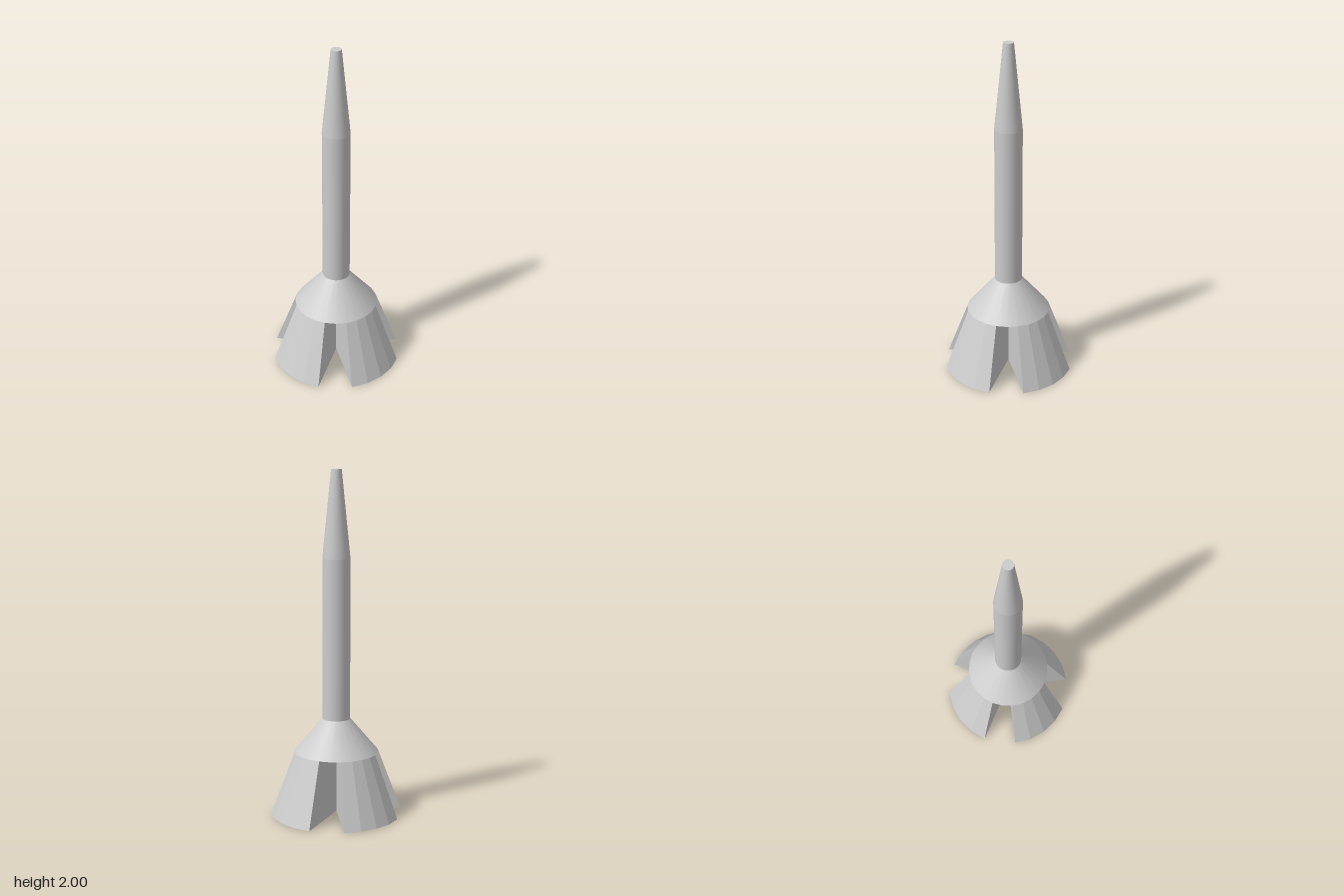
import * as THREE from 'three';

export function createModel() {
  const group = new THREE.Group();
  const smooth = new THREE.MeshStandardMaterial({ color: 0xcccccc });
  const flat = new THREE.MeshStandardMaterial({ color: 0xcccccc, flatShading: true, side: THREE.DoubleSide });

  const add = (parent, name, geometry, material, y = 0) => {
    const mesh = new THREE.Mesh(geometry, material);
    mesh.name = name;
    mesh.position.y = y;
    parent.add(mesh);
    return mesh;
  };

  // Stacked round sections: name, bottom radius, top radius, bottom y, top y, sides
  const sections = [
    ['collar', 0.245, 0.08, 0.37, 0.565, 24],
    ['shaft', 0.08, 0.08, 0.565, 1.5, 32],
    ['taperedNose', 0.08, 0.03, 1.5, 2, 32],
  ];
  for (const [name, rBottom, rTop, y0, y1, sides] of sections) {
    add(group, name, new THREE.CylinderGeometry(rTop, rBottom, y1 - y0, sides), smooth, (y0 + y1) / 2);
  }

  // Four flared 60-degree wedges that meet at the axis
  const rTop = 0.245, rBottom = 0.384, height = 0.37, half = Math.PI / 6;
  const wall = new THREE.ShapeGeometry(new THREE.Shape([
    new THREE.Vector2(0, 0), new THREE.Vector2(rBottom, 0),
    new THREE.Vector2(rTop, height), new THREE.Vector2(0, height),
  ]));
  const shell = new THREE.CylinderGeometry(rTop, rBottom, height, 4, 1, false, -half, 2 * half);
  for (let i = 0; i < 4; i++) {
    const fin = new THREE.Group();
    fin.name = 'fin' + (i + 1);
    fin.rotation.y = i * Math.PI / 2;
    add(fin, 'finShell', shell, flat, height / 2);
    for (const side of [-1, 1]) {
      add(fin, 'finSide', wall, flat).rotation.y = side * half - Math.PI / 2;
    }
    group.add(fin);
  }
  return group;
}
